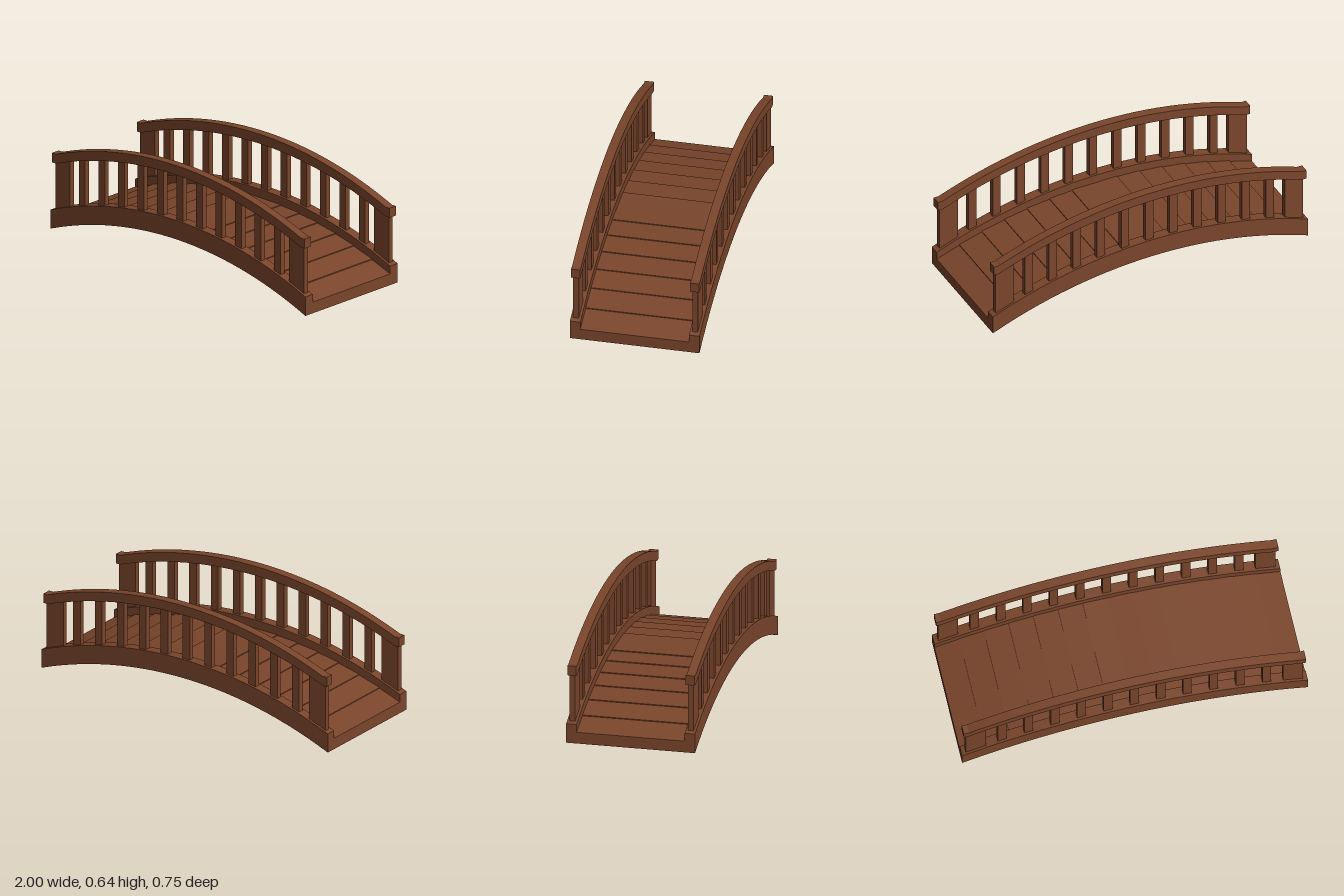
import * as THREE from 'three';

const RISE = 0.195;
const RADIUS = (1 + RISE * RISE) / (2 * RISE);
// Drop of the arch below its crown at a given x
const drop = (x) => RADIUS - Math.sqrt(RADIUS * RADIUS - x * x);

export function createModel() {
  const group = new THREE.Group();
  group.name = 'archedFootbridge';
  const wood = new THREE.MeshStandardMaterial({ color: 0x7a452b, flatShading: true });

  // Extrudes an x-y outline across z, centred on zMid
  function addSlab(name, outline, width, zMid) {
    const shape = new THREE.Shape(outline.map(([x, y]) => new THREE.Vector2(x, y)));
    const geo = new THREE.ExtrudeGeometry(shape, { depth: width, bevelEnabled: false });
    geo.translate(0, 0, zMid - width / 2);
    const mesh = new THREE.Mesh(geo, wood);
    mesh.name = name;
    group.add(mesh);
  }

  // Outline between two parallel arches, level beyond flatX
  function archOutline(x0, x1, low, high, flatX = 1, steps = 28) {
    const xs = Array.from({ length: steps + 1 }, (_, i) => x0 + ((x1 - x0) * i) / steps);
    if (flatX < x1) xs.splice(1, 0, -flatX), xs.splice(-1, 0, flatX);
    const d = (x) => drop(Math.min(Math.abs(x), flatX));
    return [
      ...xs.map((x) => [x, low - d(x)]),
      ...xs.reverse().map((x) => [x, high - d(x)]),
    ];
  }

  // Curved base under the planks
  addSlab('deckBase', archOutline(-1, 1, RISE, 0.25), 0.626, 0);

  // Planks, each lower edge lapping slightly over the next
  const planks = 14;
  for (let i = 0; i < planks; i++) {
    const a = -1 + (2 * i) / planks;
    const b = a + 2 / planks;
    const lift = 0.005;
    const ya = 0.262 - drop(a) - (a < -0.01 ? 0 : lift);
    const yb = 0.262 - drop(b) - (b > 0.01 ? 0 : lift);
    addSlab('deckPlank', [[a, ya - 0.02], [b, yb - 0.02], [b, yb], [a, ya]], 0.626, 0);
  }

  for (const side of [1, -1]) {
    const z = side * 0.343;
    addSlab('sideBeam', archOutline(-1, 1, RISE, 0.309), 0.06, z);
    addSlab('handrail', archOutline(-0.99, 0.99, 0.58, 0.637, 0.96), 0.052, z);

    // Balusters reach from the beam into the handrail
    for (let i = -5; i <= 5; i++) {
      const x = i * 0.153;
      addSlab('baluster', archOutline(x - 0.025, x + 0.025, 0.3, 0.59, 1, 1), 0.032, z);
    }
    // Wide end posts
    for (const end of [-1, 1]) {
      const x = end * 0.917;
      addSlab('endPost', archOutline(x - 0.058, x + 0.058, 0.3, 0.597, 1, 2), 0.032, z);
    }
  }
  return group;
}
